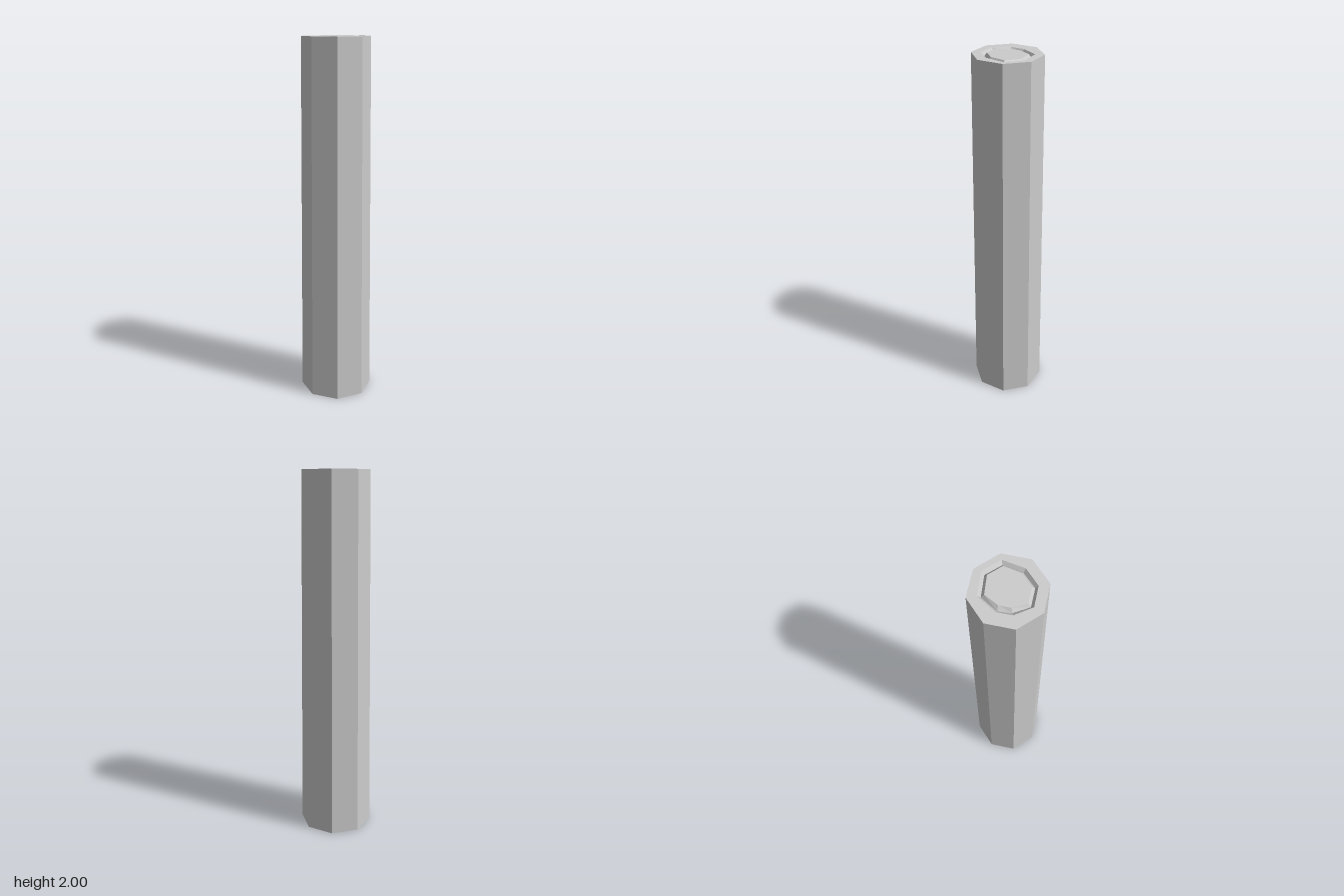
import * as THREE from 'three';

// Corners run clockwise seen from above, starting at the back
const octagon = (r) => Array.from({ length: 8 }, (_, i) => {
  const a = (i * Math.PI) / 4;
  return [r * Math.sin(a), -r * Math.cos(a)];
});

// Skin a stack of eight-sided rings; optional flat caps close the ends
function loft(rings, capBottom, capTop) {
  const pos = [];
  const point = ({ y, pts }, i) => [pts[i % 8][0], y, pts[i % 8][1]];
  for (let k = 0; k < rings.length - 1; k++) {
    for (let i = 0; i < 8; i++) {
      const a = point(rings[k], i), b = point(rings[k], i + 1);
      const c = point(rings[k + 1], i), d = point(rings[k + 1], i + 1);
      pos.push(...a, ...c, ...d, ...a, ...d, ...b);
    }
  }
  const last = rings[rings.length - 1];
  for (let i = 1; i < 7; i++) {
    if (capBottom) pos.push(...point(rings[0], 0), ...point(rings[0], i), ...point(rings[0], i + 1));
    if (capTop) pos.push(...point(last, 0), ...point(last, i + 1), ...point(last, i));
  }
  const geo = new THREE.BufferGeometry();
  geo.setAttribute('position', new THREE.Float32BufferAttribute(pos, 3));
  geo.computeVertexNormals();
  return geo;
}

export function createModel() {
  const group = new THREE.Group();
  group.name = 'post';
  const material = new THREE.MeshStandardMaterial({ color: 0xcccccc, flatShading: true });
  const add = (name, geo) => {
    const mesh = new THREE.Mesh(geo, material);
    mesh.name = name;
    group.add(mesh);
  };

  // Irregular rings of the V-shaped groove: outer lip, valley, inner lip
  const outerLip = [[0, -0.133], [0.113, -0.095], [0.15, 0], [0.091, 0.093],
    [0, 0.131], [-0.095, 0.093], [-0.116, 0], [-0.087, -0.07]];
  const valley = [[0, -0.118], [0.102, -0.085], [0.135, 0], [0.082, 0.082],
    [0, 0.117], [-0.084, 0.082], [-0.096, 0], [-0.077, -0.061]];
  const innerLip = [[0, -0.103], [0.09, -0.075], [0.12, 0], [0.073, 0.072],
    [0, 0.103], [-0.073, 0.072], [-0.081, 0], [-0.059, -0.053]];

  // Tapered shaft, closed below
  add('shaft', loft([{ y: 0, pts: octagon(0.2) }, { y: 2, pts: octagon(0.182) }], true, false));

  // Flat rim, groove and flat centre of the top end
  add('groovedTop', loft([
    { y: 2, pts: octagon(0.182) },
    { y: 2, pts: outerLip },
    { y: 1.98, pts: valley },
    { y: 2, pts: innerLip },
  ], false, true));

  return group;
}
